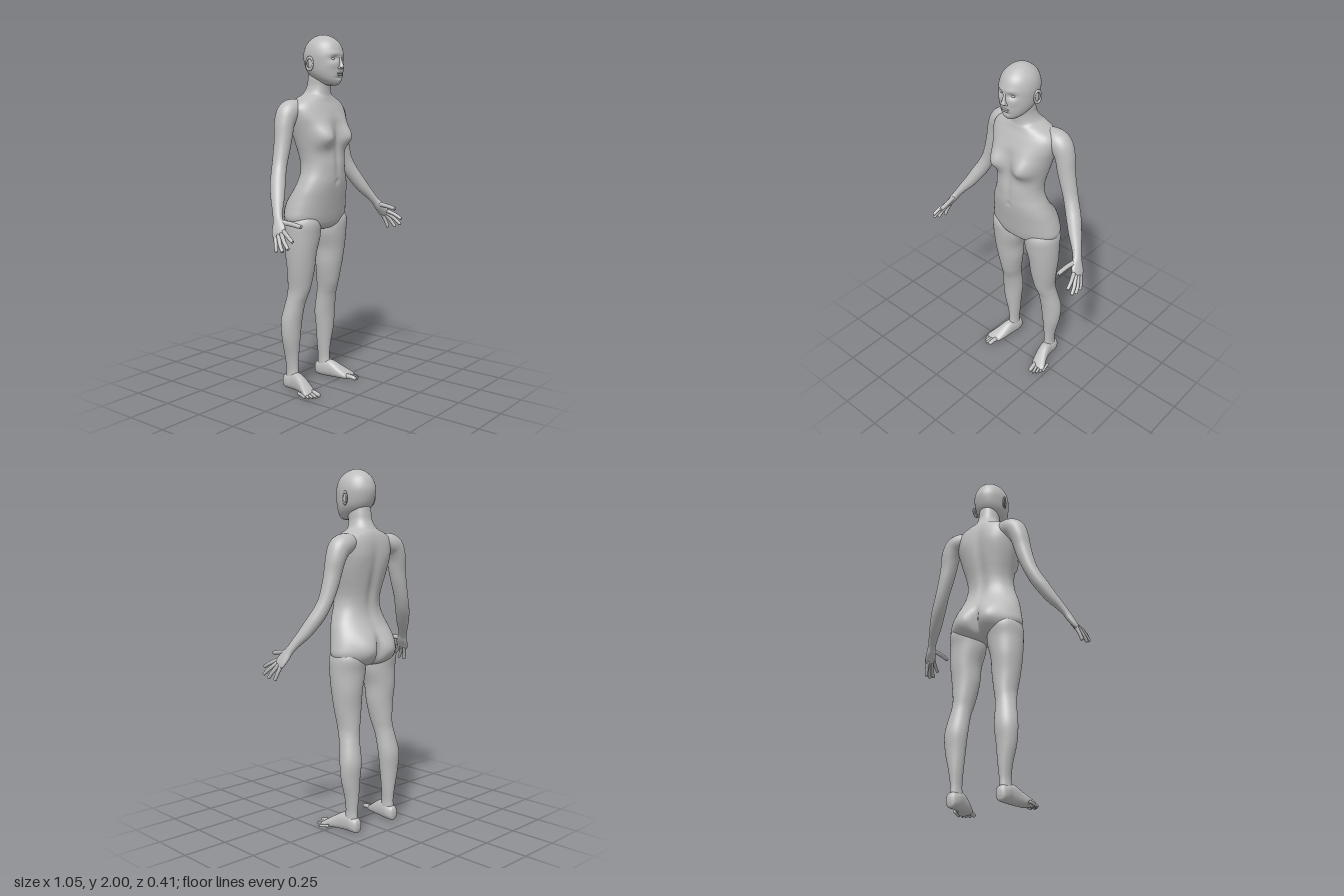
import * as THREE from 'three';

const V = (x, y, z) => new THREE.Vector3(x, y, z);
const X = V(1, 0, 0), Y = V(0, 1, 0), Z = V(0, 0, 1);

// Smooth skin through oval sections; key = [x, y, z, radius along ref, radius across].
function loft(keys, { ref = Z, dir = null, seg = 40, steps = 6, power = 2, deform = null } = {}) {
  const path = new THREE.CatmullRomCurve3(keys.map(k => V(k[0], k[1], k[2])), false, 'catmullrom');
  const size = new THREE.CatmullRomCurve3(keys.map(k => V(k[3], k[4], 0)), false, 'catmullrom');
  const rows = (keys.length - 1) * steps, pos = [], idx = [];
  const bend = c => Math.sign(c) * Math.abs(c) ** (2 / power);
  const add = p => { if (deform) deform(p); pos.push(p.x, p.y, p.z); };
  for (let i = 0; i <= rows; i++) {
    const t = i / rows, c = path.getPoint(t), s = size.getPoint(t);
    const T = dir || path.getTangent(t);
    const v = T.clone().cross(ref).normalize(), u = v.clone().cross(T);
    for (let j = 0; j < seg; j++) {
      const a = j / seg * Math.PI * 2;
      add(c.clone().addScaledVector(u, bend(Math.cos(a)) * Math.max(s.x, 0.0005))
        .addScaledVector(v, bend(Math.sin(a)) * Math.max(s.y, 0.0005)));
      if (i === rows) continue;
      const p = i * seg + j, q = i * seg + (j + 1) % seg;
      idx.push(p, q, q + seg, p, q + seg, p + seg);
    }
  }
  // end caps
  const first = pos.length / 3, end = rows * seg;
  add(path.getPoint(0));
  add(path.getPoint(1));
  for (let j = 0; j < seg; j++) {
    const k = (j + 1) % seg;
    idx.push(first, k, j, first + 1, end + j, end + k);
  }
  const g = new THREE.BufferGeometry();
  g.setAttribute('position', new THREE.Float32BufferAttribute(pos, 3));
  g.setIndex(idx);
  g.computeVertexNormals();
  return g;
}

// Upright sections given as [y, front z, back z, half width]
const upright = rows => rows.map(([y, f, b, w]) => [0, y, (f + b) / 2, (f - b) / 2, w]);
const mirror = (keys, s) => keys.map(([x, ...rest]) => [x * s, ...rest]);
const bump = (dx, dy, sx, sy) => Math.exp(-((dx / sx) ** 2) - (dy / sy) ** 2);

// Finger or toe with a rounded tip
function digit(points, r, s) {
  const n = points.length, a = V(...points[n - 2]), b = V(...points[n - 1]);
  const d = b.clone().sub(a).normalize();
  const keys = points.map((p, i) => [...p, r * (1 - 0.1 * i), r * (1 - 0.1 * i)]);
  for (const [f, w] of [[0.45, 0.6], [0.65, 0.05]]) {
    keys.push([...b.clone().addScaledVector(d, r * f).toArray(), r * w, r * w]);
  }
  return loft(mirror(keys, s), { ref: V(0.9, 0.3, 0.1).normalize(), seg: 14, steps: 4 });
}

// Chest, seat, spine and navel relief
function shapeTorso(p) {
  const ax = Math.abs(p.x), { y, z } = p;
  if (z > -0.02) {
    const k = Math.min(1, (z + 0.02) / 0.06), dy = y - 1.445;
    p.z += k * 0.058 * bump(ax - 0.095, dy, 0.062, dy > 0 ? 0.075 : 0.055);
    p.z -= k * 0.008 * bump(p.x, y - 1.2, 0.012, 0.014);
    p.z -= k * 0.008 * bump(p.x, y - 1.32, 0.02, 0.1);
  } else if (z < -0.07) {
    const k = Math.min(1, (-0.07 - z) / 0.05);
    p.z -= k * 0.034 * bump(ax - 0.085, y - 1.025, 0.07, 0.085);
    p.z += k * 0.035 * bump(p.x, y - 1.0, 0.02, 0.075);
    p.z += k * 0.014 * bump(p.x, y - 1.38, 0.03, 0.18);
    p.z -= k * 0.008 * bump(ax - 0.1, y - 1.53, 0.05, 0.07);
  }
}

// Eye sockets, brow, cheeks and chin
function shapeHead(p) {
  if (p.z < 0.03) return;
  const ax = Math.abs(p.x), { y } = p;
  p.z -= 0.014 * bump(ax - 0.036, y - 1.868, 0.022, 0.014);
  p.z += 0.004 * bump(ax - 0.03, y - 1.895, 0.03, 0.012);
  p.z += 0.004 * bump(ax - 0.05, y - 1.835, 0.02, 0.02);
  p.z -= 0.006 * bump(p.x, y - 1.766, 0.03, 0.008);
}

const TORSO = upright([
  [0.925, 0, -0.1, 0.03], [0.935, 0.025, -0.135, 0.13], [0.96, 0.048, -0.165, 0.195],
  [1.0, 0.06, -0.18, 0.22], [1.05, 0.07, -0.178, 0.213], [1.1, 0.08, -0.165, 0.2],
  [1.15, 0.09, -0.14, 0.185], [1.2, 0.098, -0.12, 0.165], [1.25, 0.1, -0.112, 0.146],
  [1.3, 0.1, -0.116, 0.139], [1.35, 0.094, -0.126, 0.145], [1.4, 0.087, -0.138, 0.157],
  [1.45, 0.083, -0.148, 0.17], [1.5, 0.08, -0.154, 0.183], [1.55, 0.076, -0.157, 0.195],
  [1.6, 0.058, -0.155, 0.198], [1.635, 0.042, -0.148, 0.175], [1.66, 0.034, -0.138, 0.125],
  [1.68, 0.03, -0.124, 0.08], [1.72, 0.032, -0.102, 0.062], [1.76, 0.04, -0.095, 0.059],
  [1.8, 0.04, -0.09, 0.055],
]);
const HEAD = upright([
  [1.726, 0.085, 0.03, 0.008], [1.733, 0.1, 0.01, 0.036], [1.755, 0.11, -0.035, 0.062],
  [1.78, 0.114, -0.075, 0.079], [1.81, 0.116, -0.1, 0.09], [1.85, 0.117, -0.115, 0.096],
  [1.89, 0.116, -0.12, 0.098], [1.93, 0.106, -0.11, 0.09], [1.96, 0.087, -0.092, 0.073],
  [1.985, 0.052, -0.06, 0.046], [1.996, 0.022, -0.032, 0.022], [2.0, -0.004, -0.006, 0.001],
]);
const ARM = [
  [0.1, 1.6, -0.085, 0.04, 0.045], [0.165, 1.597, -0.085, 0.06, 0.057], [0.208, 1.575, -0.085, 0.062, 0.06],
  [0.235, 1.52, -0.085, 0.057, 0.053], [0.25, 1.45, -0.08, 0.05, 0.048], [0.268, 1.38, -0.077, 0.046, 0.044],
  [0.295, 1.3, -0.07, 0.042, 0.039], [0.322, 1.24, -0.055, 0.042, 0.039], [0.35, 1.19, -0.035, 0.042, 0.038],
  [0.385, 1.13, -0.005, 0.037, 0.033], [0.42, 1.08, 0.025, 0.029, 0.025], [0.445, 1.04, 0.048, 0.027, 0.02],
  [0.46, 1.01, 0.066, 0.036, 0.019], [0.477, 0.98, 0.082, 0.041, 0.015], [0.486, 0.962, 0.092, 0.036, 0.011],
  [0.49, 0.955, 0.096, 0.015, 0.004],
];
const LEG = [
  [0.12, 1.04, -0.06, 0.07, 0.07], [0.122, 0.98, -0.058, 0.105, 0.097], [0.12, 0.9, -0.055, 0.099, 0.101],
  [0.13, 0.8, -0.06, 0.09, 0.086], [0.128, 0.7, -0.063, 0.078, 0.077], [0.13, 0.6, -0.073, 0.068, 0.061],
  [0.136, 0.55, -0.082, 0.061, 0.057], [0.143, 0.5, -0.095, 0.057, 0.058], [0.153, 0.4, -0.113, 0.058, 0.064],
  [0.155, 0.3, -0.114, 0.051, 0.055], [0.148, 0.2, -0.116, 0.043, 0.038], [0.146, 0.12, -0.114, 0.038, 0.028],
  [0.147, 0.06, -0.11, 0.042, 0.03], [0.147, 0.03, -0.11, 0.02, 0.02],
].reverse();
const FOOT = [
  [0.148, 0.042, -0.172, 0.01, 0.015], [0.147, 0.04, -0.162, 0.028, 0.038], [0.147, 0.045, -0.13, 0.036, 0.045],
  [0.148, 0.05, -0.1, 0.035, 0.05], [0.154, 0.05, -0.06, 0.036, 0.05], [0.163, 0.04, -0.02, 0.04, 0.04],
  [0.178, 0.027, 0.02, 0.045, 0.027], [0.188, 0.019, 0.046, 0.044, 0.018], [0.193, 0.015, 0.06, 0.028, 0.01],
];
const FINGERS = {
  thumb: [[0.452, 1.025, 0.07], [0.44, 1.02, 0.13], [0.434, 1.01, 0.19]],
  indexFinger: [[0.474, 0.985, 0.112], [0.492, 0.965, 0.155], [0.5, 0.943, 0.192]],
  middleFinger: [[0.482, 0.972, 0.105], [0.506, 0.938, 0.143], [0.517, 0.907, 0.177]],
  ringFinger: [[0.486, 0.965, 0.088], [0.508, 0.923, 0.117], [0.517, 0.89, 0.14]],
  littleFinger: [[0.485, 0.962, 0.07], [0.502, 0.918, 0.084], [0.51, 0.885, 0.094]],
};
const TOE_TIPS = [[0.172, 0.1], [0.196, 0.1], [0.212, 0.088], [0.225, 0.072], [0.235, 0.052]];

export function createModel() {
  const model = new THREE.Group();
  const skin = new THREE.MeshStandardMaterial({ color: 0xbdbdbd });
  skin.name = 'grey skin';
  const add = (name, geometry) => {
    const mesh = new THREE.Mesh(geometry, skin);
    mesh.name = name;
    model.add(mesh);
    return mesh;
  };
  const ball = (name, at, size) => {
    const mesh = add(name, new THREE.SphereGeometry(1, 24, 16));
    mesh.position.set(...at);
    mesh.scale.set(...size);
    return mesh;
  };

  add('torso', loft(TORSO, { dir: Y, seg: 96, steps: 5, power: 2.15, deform: shapeTorso }));
  add('head', loft(HEAD, { dir: Y, seg: 96, steps: 6, deform: shapeHead }));

  // face
  add('nose', loft([
    [0, 1.812, 0.112, 0.004, 0.004], [0, 1.818, 0.118, 0.012, 0.014], [0, 1.826, 0.12, 0.018, 0.014],
    [0, 1.845, 0.115, 0.015, 0.009], [0, 1.87, 0.11, 0.01, 0.008], [0, 1.89, 0.107, 0.006, 0.008],
  ], { dir: Y, seg: 24 }));
  ball('upperLip', [0, 1.791, 0.113], [0.025, 0.005, 0.009]);
  ball('lowerLip', [0, 1.781, 0.112], [0.021, 0.006, 0.009]);

  for (const s of [1, -1]) {
    const side = s > 0 ? 'left' : 'right';
    const part = n => side + n[0].toUpperCase() + n.slice(1);
    ball(part('eye'), [0.036 * s, 1.867, 0.089], [0.014, 0.009, 0.011]);
    ball(part('nostril'), [0.012 * s, 1.82, 0.115], [0.008, 0.007, 0.011]);

    // ear: shell with a raised rim
    ball(part('earShell'), [0.096 * s, 1.84, -0.016], [0.007, 0.032, 0.017]);
    const rim = add(part('earRim'), new THREE.TorusGeometry(0.02, 0.005, 10, 28));
    rim.position.set(0.102 * s, 1.842, -0.018);
    rim.rotation.y = Math.PI / 2 - 0.3 * s;
    rim.scale.y = 1.6;

    // limbs
    add(part('armAndPalm'), loft(mirror(ARM, s), { seg: 36 }));
    for (const [name, points] of Object.entries(FINGERS)) {
      add(part(name), digit(points, name === 'thumb' ? 0.014 : 0.0115, s));
    }
    add(part('leg'), loft(mirror(LEG, s), { dir: Y, seg: 48 }));
    add(part('foot'), loft(mirror(FOOT, s), { ref: X, dir: Z, seg: 36, power: 2.3 }));
    TOE_TIPS.forEach(([x, z], i) => {
      const r = i === 0 ? 0.0145 : 0.0105 - i * 0.0006;
      const base = [0.163 + 0.0155 * i, 0.02, 0.038 - 0.011 * i];
      const mid = [(base[0] + x) / 2, r + 0.006, (base[2] + z) / 2];
      add(part('toe' + (i + 1)), digit([base, mid, [x, r, z]], r, s));
    });
  }
  return model;
}
